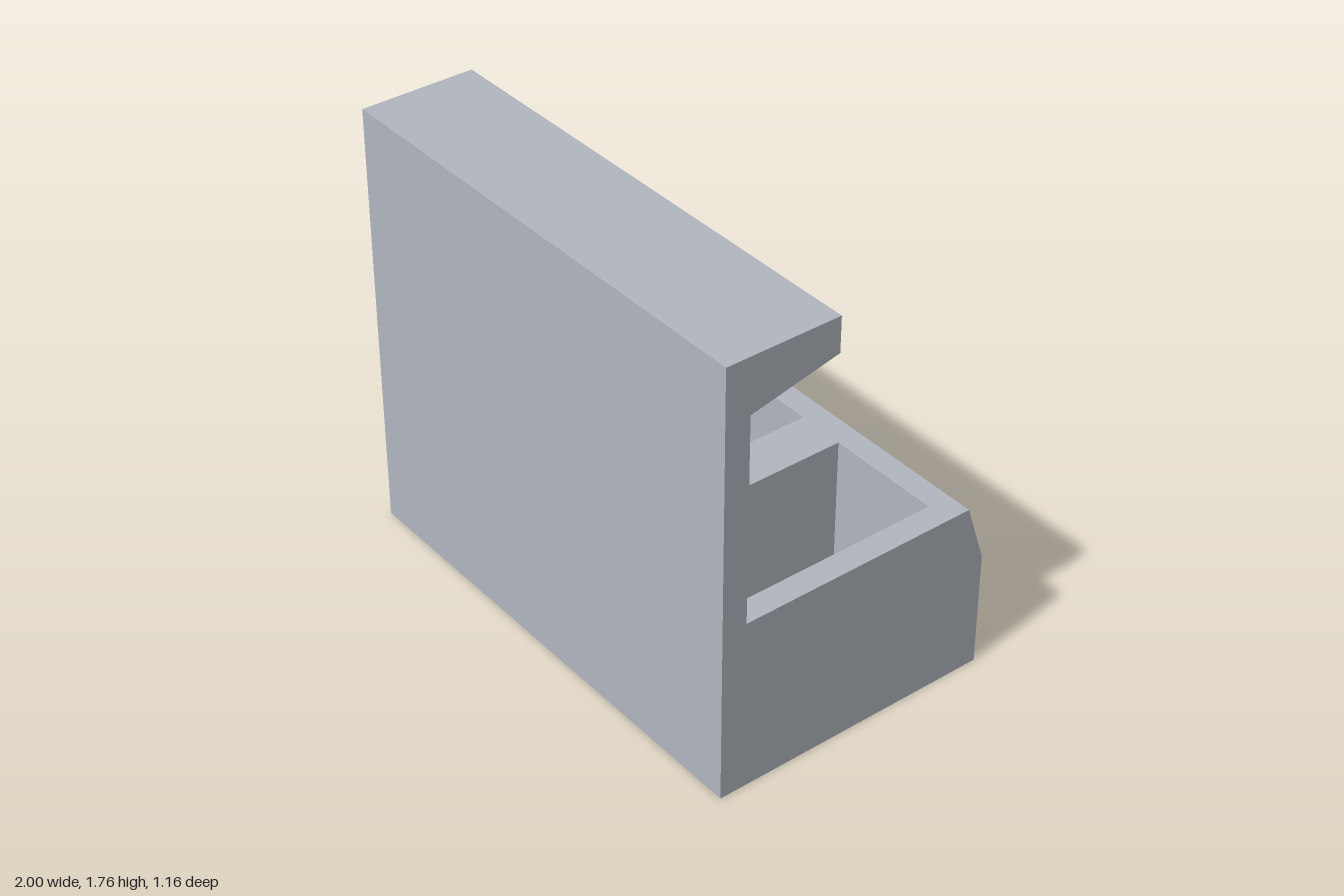
import * as THREE from 'three';

// Turns flat polygons [points, outward normal] into one flat-faced mesh
function panelMesh(name, material, panels) {
  const position = [];
  for (const [points, normal] of panels) {
    const pts = points.map((p) => new THREE.Vector3(...p));
    const n = new THREE.Vector3(...normal);
    const size = normal.map(Math.abs);
    const drop = size.indexOf(Math.max(...size));
    const keep = [0, 1, 2].filter((i) => i !== drop);
    const flat = points.map((p) => new THREE.Vector2(p[keep[0]], p[keep[1]]));
    for (const [i, j, k] of THREE.ShapeUtils.triangulateShape(flat, [])) {
      const a = pts[i], b = pts[j], c = pts[k];
      const cross = b.clone().sub(a).cross(c.clone().sub(a));
      const order = cross.dot(n) > 0 ? [a, b, c] : [a, c, b];
      order.forEach((v) => position.push(v.x, v.y, v.z));
    }
  }
  const geometry = new THREE.BufferGeometry();
  geometry.setAttribute('position', new THREE.Float32BufferAttribute(position, 3));
  geometry.computeVertexNormals();
  const mesh = new THREE.Mesh(geometry, material);
  mesh.name = name;
  return mesh;
}

// Rectangle spanning x0..x1 between two (z, y) points
const strip = (x0, x1, [z0, y0], [z1, y1], normal) =>
  [[[x0, y0, z0], [x1, y0, z0], [x1, y1, z1], [x0, y1, z1]], normal];

export function createModel() {
  const group = new THREE.Group();
  const grey = new THREE.MeshStandardMaterial({ color: 0xb2b7c0 });
  grey.name = 'grey body';
  const dark = new THREE.MeshStandardMaterial({ color: 0x646b86 });
  dark.name = 'dark underside';

  const front = 0.58, wall = 0.48, height = 1.76, deck = 0.71, floor = 0.1;
  const bayBack = -0.405;
  const bays = [[-0.9, -0.43], [-0.237, 0.237], [0.43, 0.9]];

  // End faces: the full side outline
  const outline = [[front, 0], [front, height], [0.12, height], [0.12, 1.62], [wall, 1.54],
    [wall, deck], [-0.5, deck], [-0.58, 0.47], [-0.58, 0]];
  for (const side of [-1, 1]) {
    group.add(panelMesh(side > 0 ? 'leftEnd' : 'rightEnd', grey,
      [[outline.map(([z, y]) => [side, y, z]), [side, 0, 0]]]));
  }

  // Counter: notched deck, sloped back edge and three open bays
  const deckEdge = [[-1, deck, -0.5], [-1, deck, wall]];
  const wallEdge = [[-1, 1.54, wall], [-1, deck, wall]];
  for (const [a, b] of bays) {
    deckEdge.push([a, deck, wall], [a, deck, bayBack], [b, deck, bayBack], [b, deck, wall]);
    wallEdge.push([a, deck, wall], [a, floor, wall], [b, floor, wall], [b, deck, wall]);
  }
  deckEdge.push([1, deck, wall], [1, deck, -0.5]);
  wallEdge.push([1, deck, wall], [1, 1.54, wall]);
  const counter = [
    [deckEdge, [0, 1, 0]],
    strip(-1, 1, [-0.5, deck], [-0.58, 0.47], [0, 0.3, -1]),
    strip(-1, 1, [-0.58, 0.47], [-0.58, 0], [0, 0, -1]),
  ];
  for (const [a, b] of bays) {
    counter.push(strip(a, b, [bayBack, floor], [wall, floor], [0, 1, 0]));
    counter.push(strip(a, b, [bayBack, floor], [bayBack, deck], [0, 0, 1]));
    for (const [x, nx] of [[a, 1], [b, -1]]) {
      counter.push([[[x, floor, bayBack], [x, deck, bayBack], [x, deck, wall], [x, floor, wall]],
        [nx, 0, 0]]);
    }
  }
  group.add(panelMesh('counter', grey, counter));

  // Upright wall: plain front, inner face running down into the bays
  group.add(panelMesh('uprightWall', grey, [
    strip(-1, 1, [front, 0], [front, height], [0, 0, 1]),
    [wallEdge, [0, 0, -1]],
  ]));

  // Canopy: top, back edge, and a sloped rim around a shallow recess below
  const outer = [[-1, 1.54, wall], [1, 1.54, wall], [1, 1.62, 0.12], [-1, 1.62, 0.12]];
  const ix = 0.95, top = 1.62;
  const inner = [[-ix, 1.535, 0.44], [ix, 1.535, 0.44], [ix, 1.613, 0.16], [-ix, 1.613, 0.16]];
  const raised = inner.map(([x, , z]) => [x, top, z]);
  const inward = [[0, 0, -1], [-1, 0, 0], [0, 0, 1], [1, 0, 0]];
  const canopy = [
    strip(-1, 1, [front, height], [0.12, height], [0, 1, 0]),
    strip(-1, 1, [0.12, height], [0.12, 1.62], [0, 0, -1]),
    [raised, [0, -1, 0]],
  ];
  for (let i = 0; i < 4; i++) {
    const j = (i + 1) % 4;
    canopy.push([[outer[i], outer[j], inner[j], inner[i]], [0, -1, 0]]);
    canopy.push([[inner[i], inner[j], raised[j], raised[i]], inward[i]]);
  }
  group.add(panelMesh('canopy', grey, canopy));

  // Underside
  group.add(panelMesh('underside', dark, [strip(-1, 1, [front, 0], [-0.58, 0], [0, -1, 0])]));
  return group;
}
